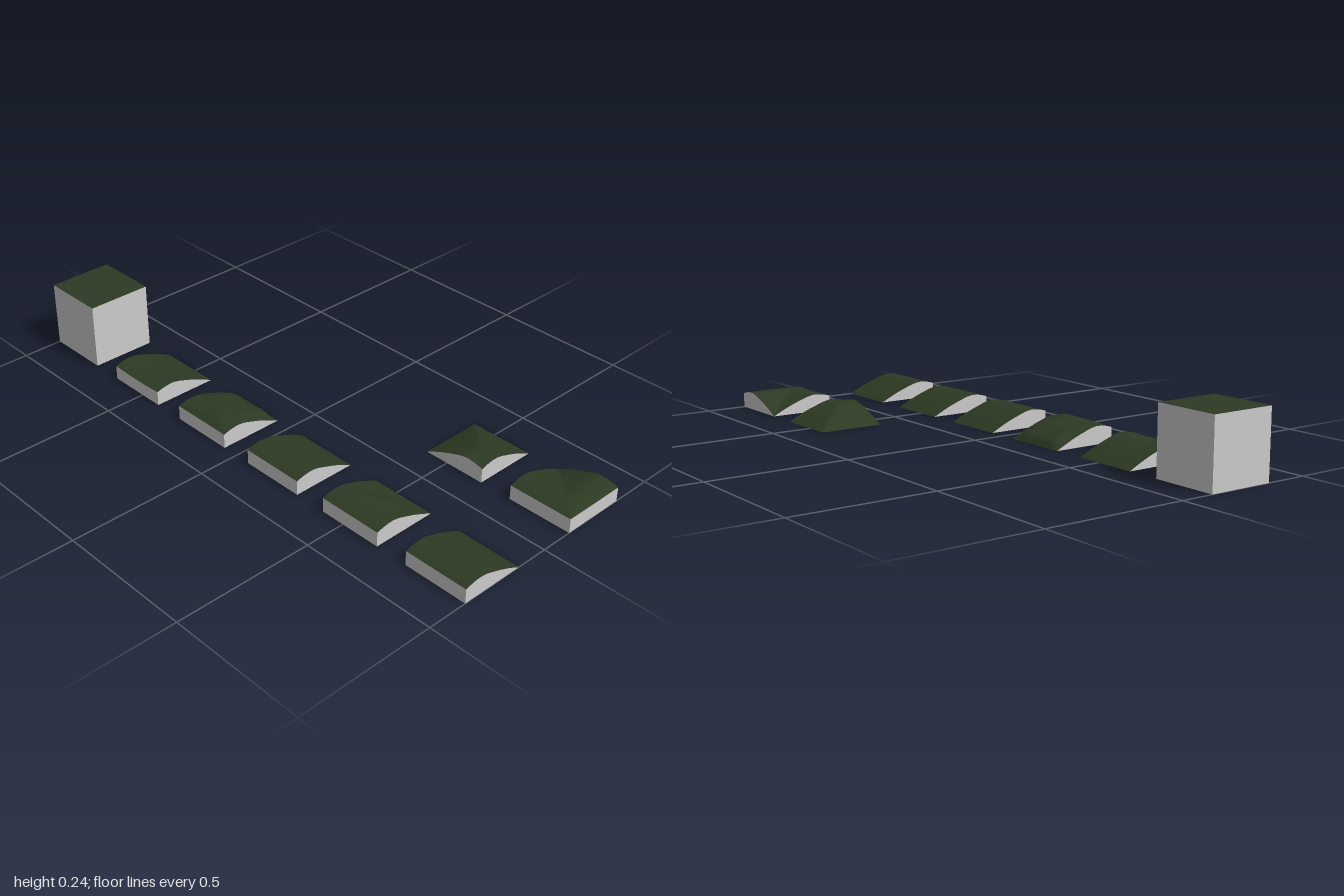
import * as THREE from 'three';

const S = 0.2353;   // tile side
const N = 24;       // cells per side
const GAP = 0.353;  // tile spacing

const grass = new THREE.MeshStandardMaterial({ color: 0x2d3a23 });
grass.name = 'grass green';
const stone = new THREE.MeshStandardMaterial({ color: 0xcccccc });
stone.name = 'side grey';

// Slope section from the high edge (0) to the foot (1)
const section = [0.052, 0.059, 0.0625, 0.063, 0.058, 0.05, 0.042, 0.033, 0.023, 0.012, 0];
function slope(t) {
  const k = Math.min(9, Math.floor(t * 10));
  return THREE.MathUtils.lerp(section[k], section[k + 1], t * 10 - k);
}
const bell = (x, c, w) => Math.exp(-(((x - c) / w) ** 2));
const step = THREE.MathUtils.smoothstep;

// Height rules: a runs from -x to +x, b from +z to -z
const straight = (a) => slope(a);
const wavy = (a, b) => slope(a) + 0.004 * Math.sin(Math.PI * b) * Math.sin(9 * a + 7 * b) * Math.sin(Math.PI * a);
const lumpy = (a, b) => {
  const across = step(b, 0, 0.22) * (1 - step(b, 0.78, 1));
  const foot = step(a, 0.25, 0.7) * (1 - step(a, 0.92, 1));
  const crest = bell(a, 0.25, 0.12) * bell(b, 0.27, 0.3);
  return slope(a) + across * (0.015 * foot + 0.012 * crest + 0.005 * bell(a, 0.1, 0.06));
};
const dipped = (a, b) => slope(a) - 0.008 * Math.sin(Math.PI * b) * bell(a, 0.25, 0.28);
const innerCorner = (a, b) => slope(Math.min(a, b));
const outerCorner = (a, b) => slope(Math.max(a, b));
const block = () => S;

function mesh(positions, index, material, name) {
  const g = new THREE.BufferGeometry();
  g.setAttribute('position', new THREE.Float32BufferAttribute(positions, 3));
  if (index) g.setIndex(index);
  g.computeVertexNormals();
  const m = new THREE.Mesh(g, material);
  m.name = name;
  return m;
}

function tile(name, cx, cz, height) {
  const group = new THREE.Group();
  group.name = name;
  group.position.set(cx, 0, cz);
  const point = (i, j, y) => [(i / N - 0.5) * S, y ?? height(i / N, j / N), (0.5 - j / N) * S];

  // Grass surface
  const top = [], index = [];
  for (let j = 0; j <= N; j++) {
    for (let i = 0; i <= N; i++) {
      top.push(...point(i, j));
      if (i < N && j < N) {
        const p = j * (N + 1) + i, q = p + N + 1;
        index.push(p, p + 1, q + 1, p, q + 1, q);
      }
    }
  }
  group.add(mesh(top, index, grass, 'grassTop'));

  // Side walls, walked around the edge, then the underside
  const walls = [];
  const quad = (p, q, r, s) => walls.push(...p, ...q, ...r, ...p, ...r, ...s);
  const wall = (i, j, k, l) => {
    if (height(i / N, j / N) + height(k / N, l / N) < 1e-6) return;
    quad(point(i, j, 0), point(k, l, 0), point(k, l), point(i, j));
  };
  for (let n = 0; n < N; n++) {
    wall(n, 0, n + 1, 0);
    wall(N, n, N, n + 1);
    wall(N - n, N, N - n - 1, N);
    wall(0, N - n, 0, N - n - 1);
  }
  quad(point(0, 0, 0), point(0, N, 0), point(N, N, 0), point(N, 0, 0));
  group.add(mesh(walls, null, stone, 'walls'));
  return group;
}

export function createModel() {
  const model = new THREE.Group();
  model.name = 'terrainTiles';
  const X = 0.2353;
  // Long row, from front to back
  const row = [
    ['plainSlope', straight], ['wavySlope', wavy], ['secondPlainSlope', straight],
    ['lumpySlope', lumpy], ['dippedSlope', dipped], ['fullBlock', block],
  ];
  row.forEach(([name, rule], k) => model.add(tile(name, -X, (2.5 - k) * GAP, rule)));
  // Corner pieces
  model.add(tile('innerCornerSlope', X, 2.5 * GAP, innerCorner));
  model.add(tile('outerCornerSlope', X, 1.5 * GAP, outerCorner));
  return model;
}
